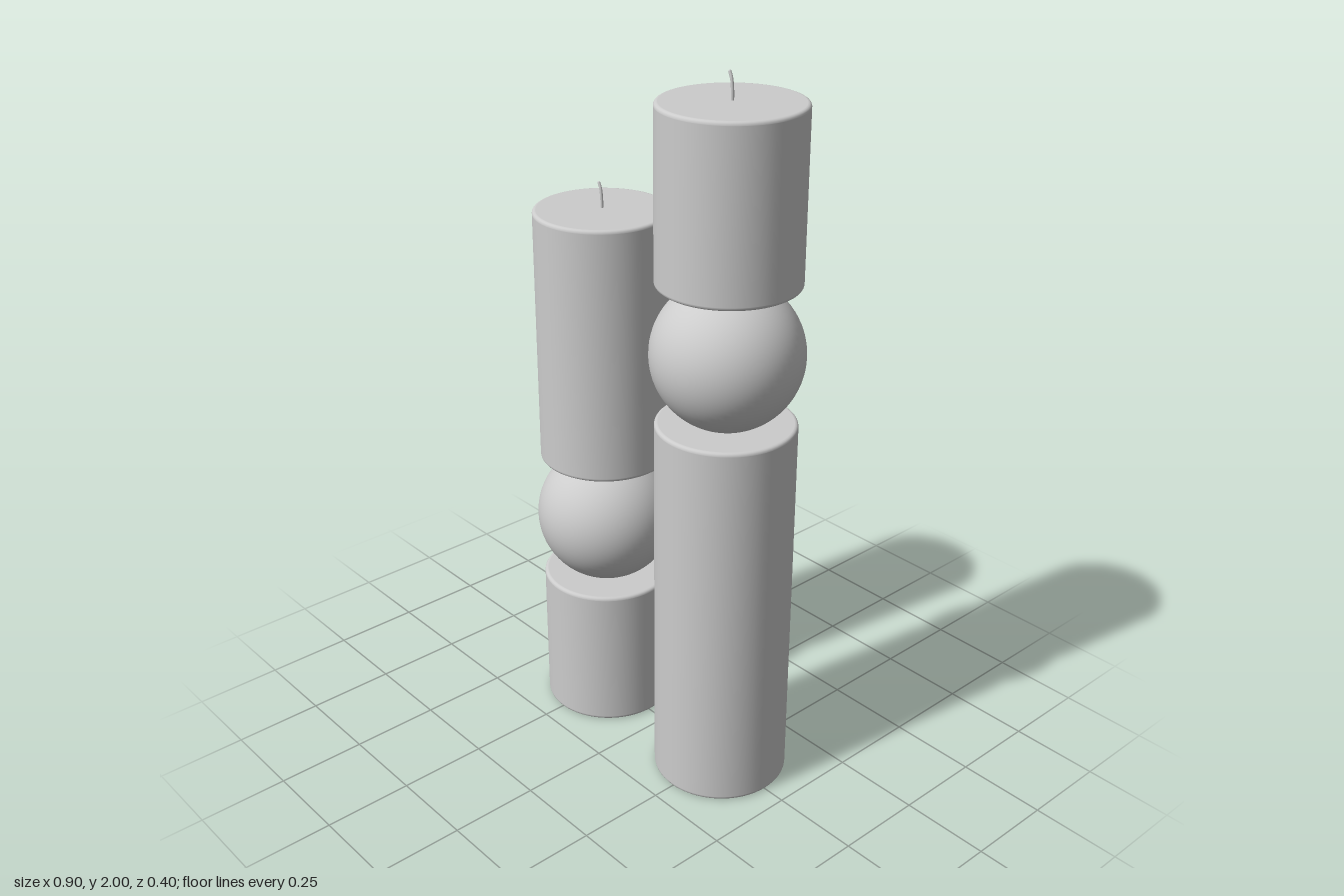
import * as THREE from 'three';

const wax = new THREE.MeshStandardMaterial({ color: 0xcccccc });
wax.name = 'wax grey';

const RADIUS = 0.188;
const BALL = 0.202;
const BEVEL = 0.009;

function addMesh(group, name, geometry) {
  const mesh = new THREE.Mesh(geometry, wax);
  mesh.name = name;
  group.add(mesh);
  return mesh;
}

// Solid cylinder with small rounded rims; doubled points keep the caps flat
function pillar(y0, y1) {
  const pts = [new THREE.Vector2(0, y0), new THREE.Vector2(RADIUS - BEVEL - 0.001, y0)];
  const corner = (y, from) => {
    for (let i = 0; i <= 4; i++) {
      const a = from + (i / 4) * Math.PI / 2;
      pts.push(new THREE.Vector2(RADIUS - BEVEL + Math.cos(a) * BEVEL, y + Math.sin(a) * BEVEL));
    }
  };
  corner(y0 + BEVEL, -Math.PI / 2);
  pts.push(new THREE.Vector2(RADIUS, y0 + BEVEL + 0.001), new THREE.Vector2(RADIUS, y1 - BEVEL - 0.001));
  corner(y1 - BEVEL, 0);
  pts.push(new THREE.Vector2(RADIUS - BEVEL - 0.001, y1), new THREE.Vector2(0, y1));
  return new THREE.LatheGeometry(pts, 64);
}

// Short wick that leans to one side, closed by a rounded tip
function addWick(group, y, height) {
  const r = 0.004;
  const curve = new THREE.CatmullRomCurve3([
    new THREE.Vector3(-0.004, y - 0.01, -0.004),
    new THREE.Vector3(-0.005, y + height * 0.4, -0.004),
    new THREE.Vector3(-0.009, y + height * 0.75, -0.004),
    new THREE.Vector3(-0.015, y + height - r, -0.004),
  ]);
  addMesh(group, 'wick', new THREE.TubeGeometry(curve, 12, r, 8));
  addMesh(group, 'wickTip', new THREE.SphereGeometry(r, 8, 6)).position.copy(curve.getPoint(1));
}

// Candle: base pillar, ball, upper pillar and wick
function candle(name, x, baseTop, upperBottom, top, wickHeight) {
  const group = new THREE.Group();
  group.name = name;
  group.position.x = x;
  addMesh(group, 'basePillar', pillar(0, baseTop));
  addMesh(group, 'ball', new THREE.SphereGeometry(BALL, 64, 40)).position.y = (baseTop + upperBottom) / 2;
  addMesh(group, 'upperPillar', pillar(upperBottom, top));
  addWick(group, top, wickHeight);
  return group;
}

export function createModel() {
  const model = new THREE.Group();
  model.name = 'candlePair';
  model.add(candle('shortCandle', -0.247, 0.428, 0.808, 1.543, 0.071));
  model.add(candle('tallCandle', 0.247, 1.088, 1.468, 1.929, 0.071));
  return model;
}
